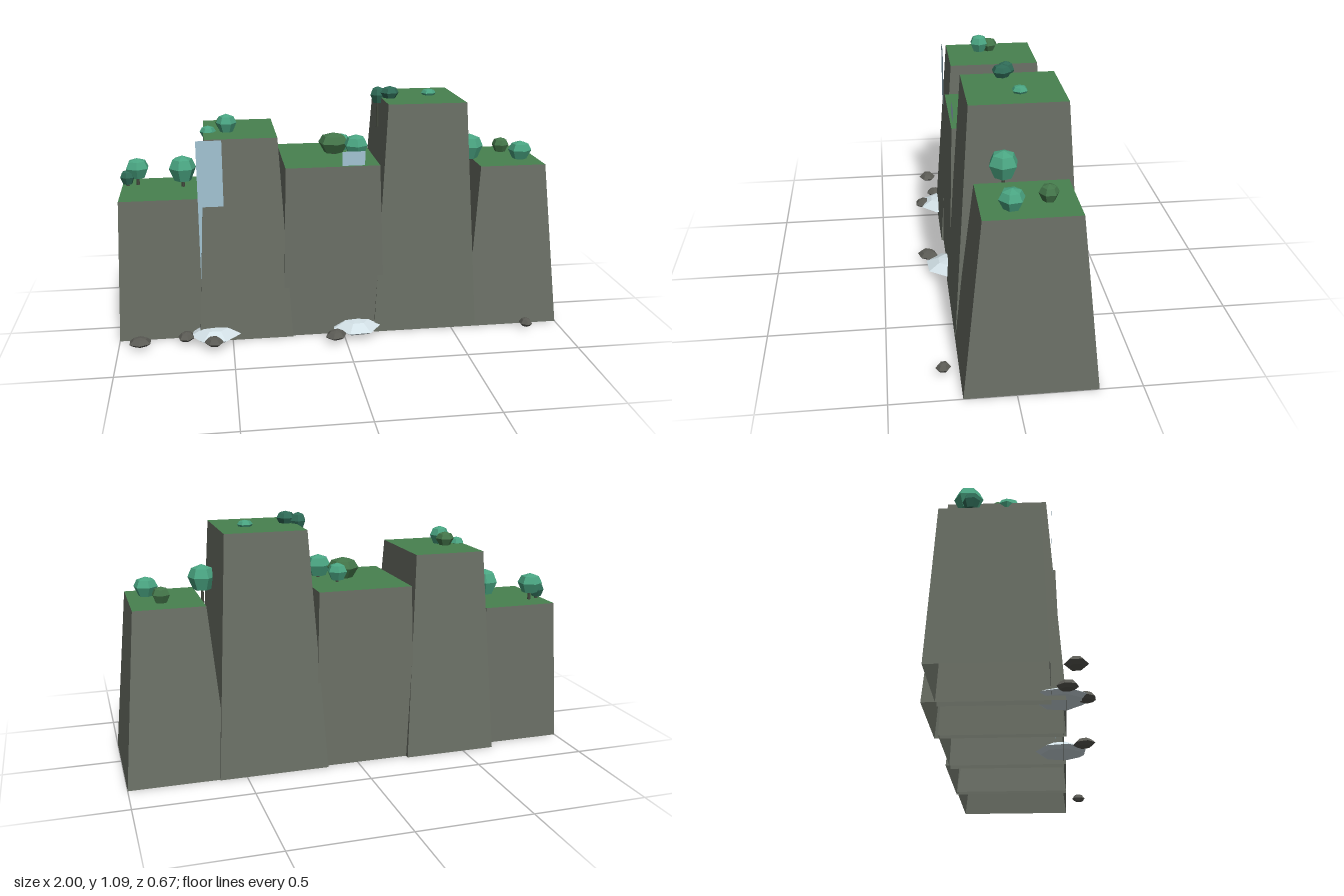
import * as THREE from 'three';

const mat = (name, color, side = THREE.FrontSide) => {
  const m = new THREE.MeshStandardMaterial({ color, side });
  m.name = name;
  return m;
};

export function createModel() {
  const model = new THREE.Group();
  model.name = 'cliffRange';

  const stone = mat('cliff grey', 0x6a6f65, THREE.DoubleSide);
  const grass = mat('grass green', 0x48814f, THREE.DoubleSide);
  const teal = mat('teal leaves', 0x4aa582);
  const olive = mat('olive green leaves', 0x44764a);
  const pine = mat('dark teal leaves', 0x2f6b57);
  const bark = mat('bark', 0x454a40);
  const boulder = mat('boulder grey', 0x5b5b55);
  const water = mat('water blue', 0xa3c4d4, THREE.DoubleSide);
  const foam = mat('foam white', 0xd2e0e6);

  const add = (name, geometry, material, x = 0, y = 0, z = 0) => {
    const mesh = new THREE.Mesh(geometry, material);
    mesh.name = name;
    mesh.position.set(x, y, z);
    model.add(mesh);
    return mesh;
  };

  // Tapered cliff, open underneath, with a grass top.
  // base and top are [x0, x1, z0, z1]
  const cliff = (height, base, top) => {
    const g = new THREE.BoxGeometry(1, 1, 1);
    const p = g.attributes.position;
    for (let i = 0; i < p.count; i++) {
      const up = p.getY(i) > 0;
      const r = up ? top : base;
      p.setXYZ(i, r[p.getX(i) > 0 ? 1 : 0], up ? height : 0, r[p.getZ(i) > 0 ? 3 : 2]);
    }
    const index = Array.from(g.index.array);
    index.splice(18, 6); // remove the underside
    g.setIndex(index);
    g.clearGroups();
    g.addGroup(0, 12, 0);
    g.addGroup(12, 6, 1);
    g.addGroup(18, 12, 0);
    g.computeVertexNormals();
    add('cliff', g, [stone, grass]);
  };
  cliff(0.64, [-1, -0.6, -0.28, 0.155], [-0.97, -0.63, -0.25, 0.13]);
  cliff(0.905, [-0.645, -0.23, -0.335, 0.21], [-0.595, -0.28, -0.265, 0.145]);
  cliff(0.775, [-0.27, 0.19, -0.315, 0.2], [-0.25, 0.165, -0.292, 0.178]);
  cliff(1.035, [0.14, 0.615, -0.332, 0.21], [0.205, 0.555, -0.255, 0.142]);
  cliff(0.74, [0.57, 1, -0.325, 0.21], [0.635, 0.935, -0.248, 0.13]);

  // Faceted lump of unit radius and height, standing on y = 0
  const lump = (profile, sides) => {
    const g = new THREE.LatheGeometry(profile.map(([r, y]) => new THREE.Vector2(r, y)), sides).toNonIndexed();
    g.computeVertexNormals();
    return g;
  };
  const crownShape = lump([[0, 0], [0.62, 0], [1, 0.5], [0.72, 0.85], [0, 1]], 6);
  const rockShape = lump([[0, 0], [0.65, 0], [1, 0.35], [0.6, 0.85], [0, 1]], 6);
  const poolShape = lump([[0, 0], [0.8, 0], [1, 0.3], [0.5, 0.9], [0, 1]], 7);

  // Trees: x, z, crown bottom, crown top, radius, leaves, trunk foot
  [
    [-0.9, -0.145, 0.675, 0.765, 0.056, teal, 0.64],
    [-0.945, -0.13, 0.65, 0.715, 0.034, pine, 0.64],
    [-0.695, -0.085, 0.67, 0.785, 0.062, teal, 0.64],
    [-0.575, -0.02, 0.88, 0.932, 0.036, teal, 0.87],
    [-0.493, -0.01, 0.905, 0.985, 0.045, teal, 0.9],
    [-0.5, -0.058, 0.905, 0.965, 0.042, olive, 0.9],
    [-0.01, -0.06, 0.785, 0.875, 0.07, olive, 0.77],
    [0.083, 0.015, 0.785, 0.88, 0.056, teal, 0.77],
    [0.03, -0.105, 0.785, 0.86, 0.046, teal, 0.77],
    [0.192, -0.052, 1.01, 1.083, 0.036, pine, 0.9],
    [0.242, -0.028, 1.03, 1.087, 0.042, pine, 1.03],
    [0.432, -0.077, 1.025, 1.063, 0.034, teal, 1.02],
    [0.61, 0.01, 0.755, 0.866, 0.062, teal, 0.665],
    [0.852, 0.01, 0.743, 0.825, 0.053, teal, 0.735],
    [0.805, -0.137, 0.743, 0.81, 0.04, olive, 0.735],
  ].forEach(([x, z, y0, y1, r, leaves, foot], i) => {
    const crown = add('treeCrown', crownShape, leaves, x, y0, z);
    crown.scale.set(r, y1 - y0, r);
    crown.rotation.y = i * 0.9;
    const h = y0 - foot + 0.02;
    add('treeTrunk', new THREE.CylinderGeometry(0.006, 0.008, h, 5), bark, x, foot + h / 2, z);
  });

  // Boulders along the foot of the cliffs: x, z, radius
  [
    [-0.905, 0.245, 0.052],
    [-0.705, 0.215, 0.044],
    [-0.585, 0.285, 0.046],
    [-0.045, 0.288, 0.053],
    [0.835, 0.275, 0.033],
  ].forEach(([x, z, r], i) => {
    const rock = add('boulder', rockShape, boulder, x, 0.018, z);
    rock.scale.set(r, 0.036, r * 0.85);
    rock.rotation.y = i * 1.3;
  });

  // Waterfalls, each with a foaming pool below: x0, x1, top, pool x
  [
    [-0.63, -0.52, 0.905, -0.575],
    [0, 0.1, 0.838, 0.06],
  ].forEach(([x0, x1, top, px], i) => {
    add('waterfall', new THREE.PlaneGeometry(x1 - x0, top - 0.03), water, (x0 + x1) / 2, (top + 0.03) / 2, 0.166);
    const pool = add('foamPool', poolShape, foam, px, 0.018, 0.19);
    pool.scale.set(0.115, 0.046, 0.11);
    pool.rotation.y = 0.4 + i;
  });

  return model;
}
